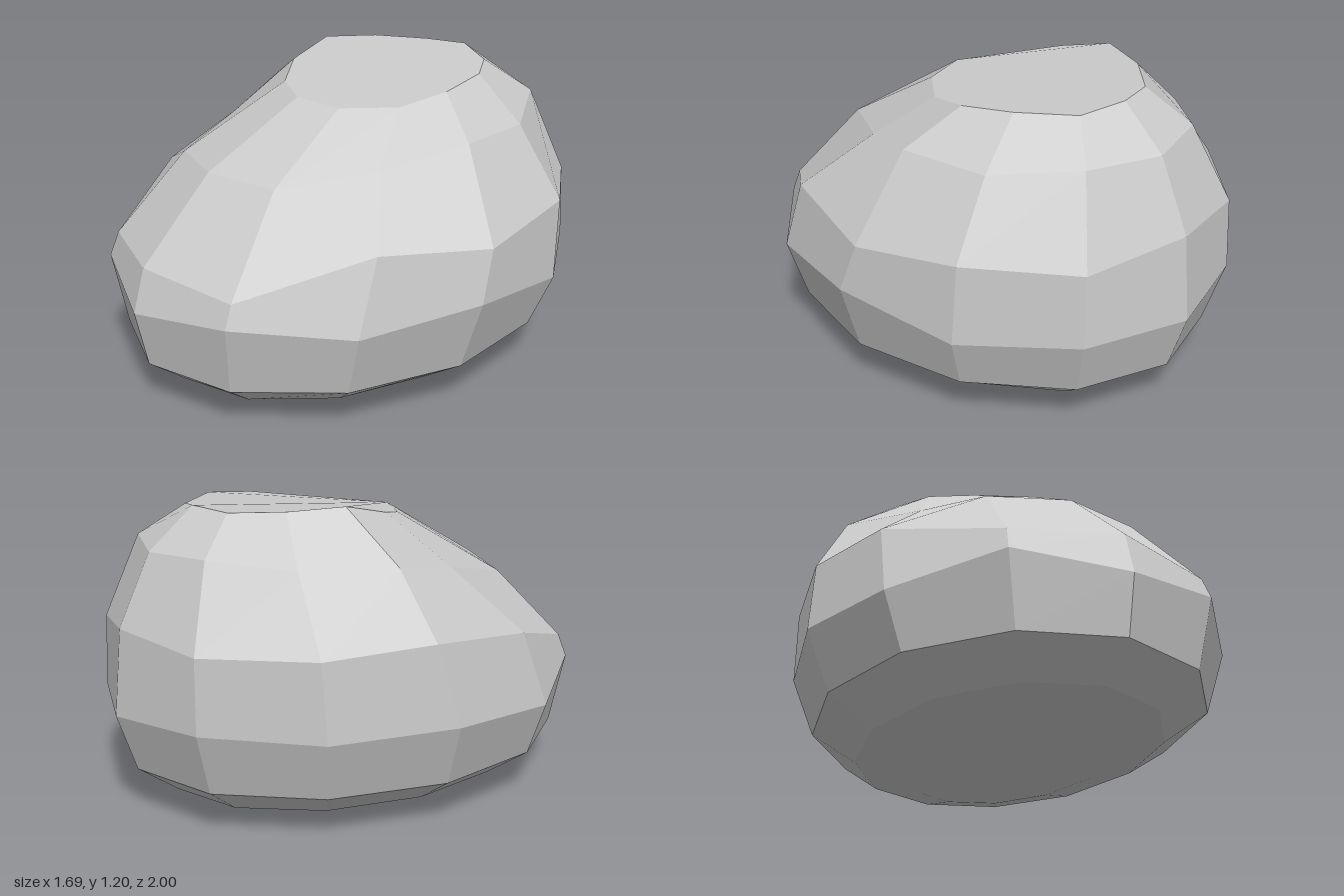
import * as THREE from 'three';

const SIDES = 12;

// Regular elliptical ring, counter-clockwise from the front; y is a height or one height per corner
function ellipse(rx, rz, cz, y) {
  return Array.from({ length: SIDES }, (_, i) => {
    const a = (i / SIDES) * Math.PI * 2;
    return new THREE.Vector3(Math.sin(a) * rx, Array.isArray(y) ? y[i] : y, Math.cos(a) * rz + cz);
  });
}

// Irregular weathered ring
const ring = (points) => points.map((p) => new THREE.Vector3(...p));

// Flat facets: each polygon is fanned and shares one averaged normal
function facets(name, polygons, material) {
  const position = [], normal = [];
  for (const poly of polygons) {
    const n = new THREE.Vector3();
    poly.forEach((p, i) => n.add(new THREE.Vector3().crossVectors(p, poly[(i + 1) % poly.length])));
    n.normalize();
    for (let i = 1; i < poly.length - 1; i++) {
      for (const p of [poly[0], poly[i], poly[i + 1]]) {
        position.push(p.x, p.y, p.z);
        normal.push(n.x, n.y, n.z);
      }
    }
  }
  const geometry = new THREE.BufferGeometry();
  geometry.setAttribute('position', new THREE.Float32BufferAttribute(position, 3));
  geometry.setAttribute('normal', new THREE.Float32BufferAttribute(normal, 3));
  const mesh = new THREE.Mesh(geometry, material);
  mesh.name = name;
  return mesh;
}

// Quads between neighbouring rings
function band(rings) {
  const quads = [];
  for (let r = 0; r < rings.length - 1; r++) {
    for (let i = 0; i < SIDES; i++) {
      const j = (i + 1) % SIDES;
      quads.push([rings[r][i], rings[r][j], rings[r + 1][j], rings[r + 1][i]]);
    }
  }
  return quads;
}

export function createModel() {
  const material = new THREE.MeshStandardMaterial({ color: 0xcccccc });

  // Rounded underside
  const foot = ellipse(0.38, 0.55, 0.02, 0);
  const lower = ellipse(0.57, 0.77, 0.02, 0.05);
  const hip = ellipse(0.75, 0.935, 0.015, 0.17);

  // Widest ring, with an uneven height
  const waist = ellipse(0.843, 1, 0, [0.4, 0.455, 0.425, 0.46, 0.39, 0.4, 0.4, 0.42, 0.41, 0.42, 0.39, 0.46]);

  // Shoulder rings lean back over a sloping front
  const shoulder = ring([
    [0, 0.575, 0.95], [0.41, 0.545, 0.83], [0.71, 0.72, 0.4], [0.815, 0.66, -0.07],
    [0.72, 0.715, -0.52], [0.41, 0.69, -0.86], [0, 0.74, -0.97], [-0.41, 0.71, -0.86],
    [-0.72, 0.72, -0.52], [-0.8, 0.74, -0.08], [-0.71, 0.695, 0.39], [-0.41, 0.555, 0.83],
  ]);
  const upper = ring([
    [-0.03, 0.875, 0.63], [0.29, 0.88, 0.55], [0.48, 0.93, 0.21], [0.61, 1.005, -0.12],
    [0.53, 0.99, -0.47], [0.31, 1.03, -0.75], [0, 1.02, -0.84], [-0.29, 1.03, -0.75],
    [-0.51, 1.0, -0.49], [-0.655, 1.0, -0.15], [-0.475, 0.93, 0.21], [-0.35, 0.855, 0.54],
  ]);
  const rim = ring([
    [0.01, 1.11, 0.235], [0.2, 1.1, 0.18], [0.345, 1.105, 0], [0.39, 1.14, -0.2],
    [0.34, 1.163, -0.42], [0.18, 1.157, -0.6], [0, 1.18, -0.655], [-0.18, 1.172, -0.6],
    [-0.33, 1.183, -0.435], [-0.405, 1.195, -0.225], [-0.35, 1.145, -0.01], [-0.2, 1.11, 0.145],
  ]);

  const rock = new THREE.Group();
  rock.name = 'rock';
  rock.add(
    facets('rockUnderside', band([foot, lower, hip]), material),
    facets('rockSides', band([hip, waist, shoulder, upper, rim]), material),
    facets('rockTop', [rim], material),
    facets('rockBase', [[...foot].reverse()], material),
  );
  return rock;
}
